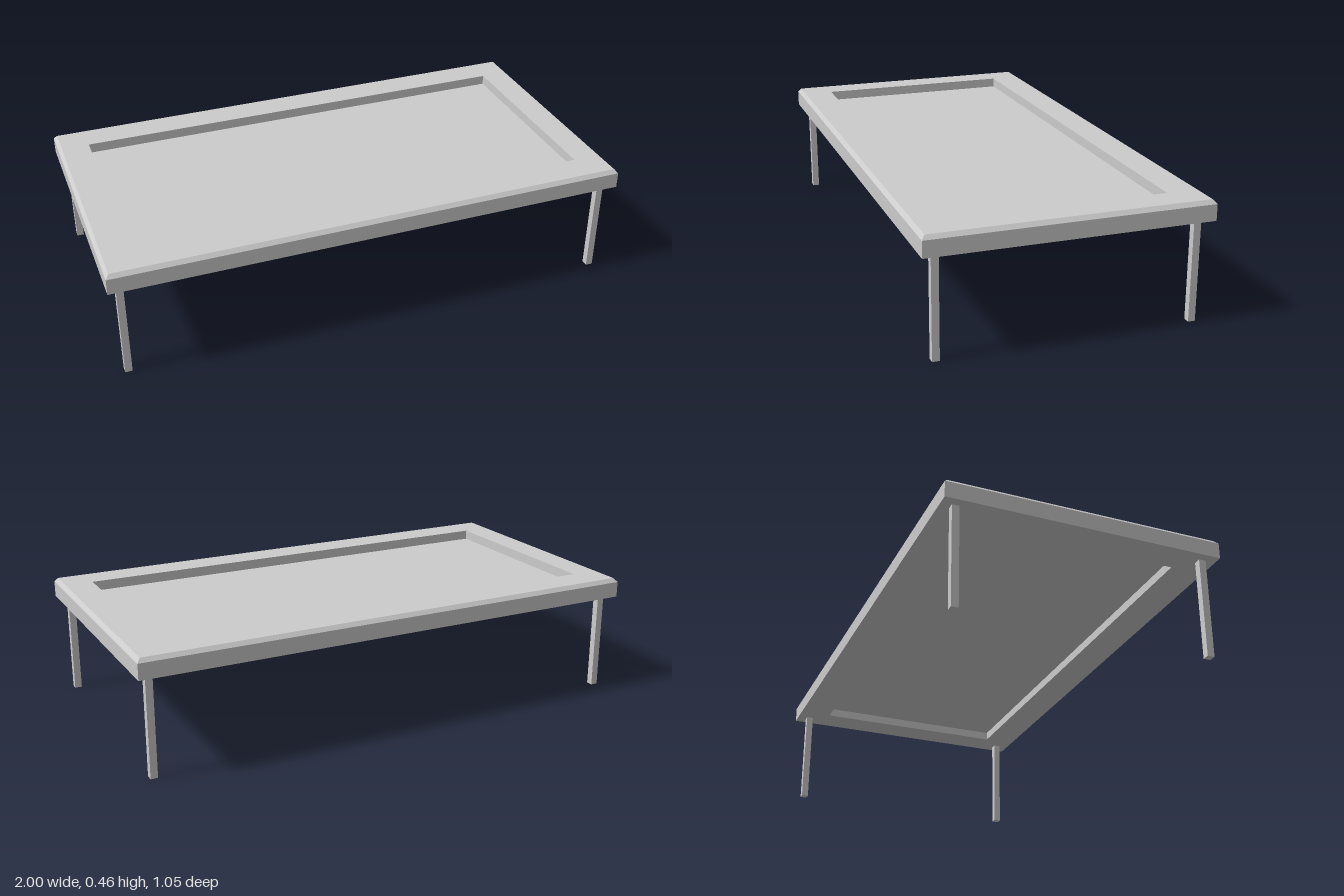
import * as THREE from 'three';

const material = new THREE.MeshStandardMaterial({ color: 0xcccccc, flatShading: true });

// Sweeps a closed profile of [halfX, halfZ, y] around a rectangle.
function rectangularRing(profile) {
  const corners = [[1, 1], [1, -1], [-1, -1], [-1, 1]];
  const positions = [];
  const point = (p, c) => [p[0] * c[0], p[2], p[1] * c[1]];
  profile.forEach((p, i) => {
    const q = profile[(i + 1) % profile.length];
    corners.forEach((c, j) => {
      const d = corners[(j + 1) % 4];
      const a = point(p, c), b = point(p, d), e = point(q, d), f = point(q, c);
      positions.push(...a, ...b, ...e, ...a, ...e, ...f);
    });
  });
  const geometry = new THREE.BufferGeometry();
  geometry.setAttribute('position', new THREE.Float32BufferAttribute(positions, 3));
  geometry.computeVertexNormals();
  return geometry;
}

export function createModel() {
  const model = new THREE.Group();
  model.name = 'lowTable';
  const add = (name, geometry, x = 0, y = 0, z = 0) => {
    const mesh = new THREE.Mesh(geometry, material);
    mesh.name = name;
    mesh.position.set(x, y, z);
    model.add(mesh);
  };

  const bottom = 0.383, top = 0.459;

  // Frame with a bevelled outer top edge and a rectangular opening
  add('topFrame', rectangularRing([
    [1, 0.523, bottom],
    [1, 0.523, 0.444],
    [0.987, 0.51, top],
    [0.88, 0.394, top],
    [0.88, 0.394, bottom],
  ]));

  // Thin panel set halfway down the opening
  add('insetPanel', new THREE.BoxGeometry(1.76, 0.004, 0.788), 0, 0.419, 0);

  // Four slim square legs
  const leg = new THREE.BoxGeometry(0.027, bottom, 0.027);
  for (const x of [-1, 1]) {
    for (const z of [-1, 1]) {
      const name = (z > 0 ? 'front' : 'back') + (x > 0 ? 'Left' : 'Right') + 'Leg';
      add(name, leg, x * 0.952, bottom / 2, z * 0.471);
    }
  }
  return model;
}
